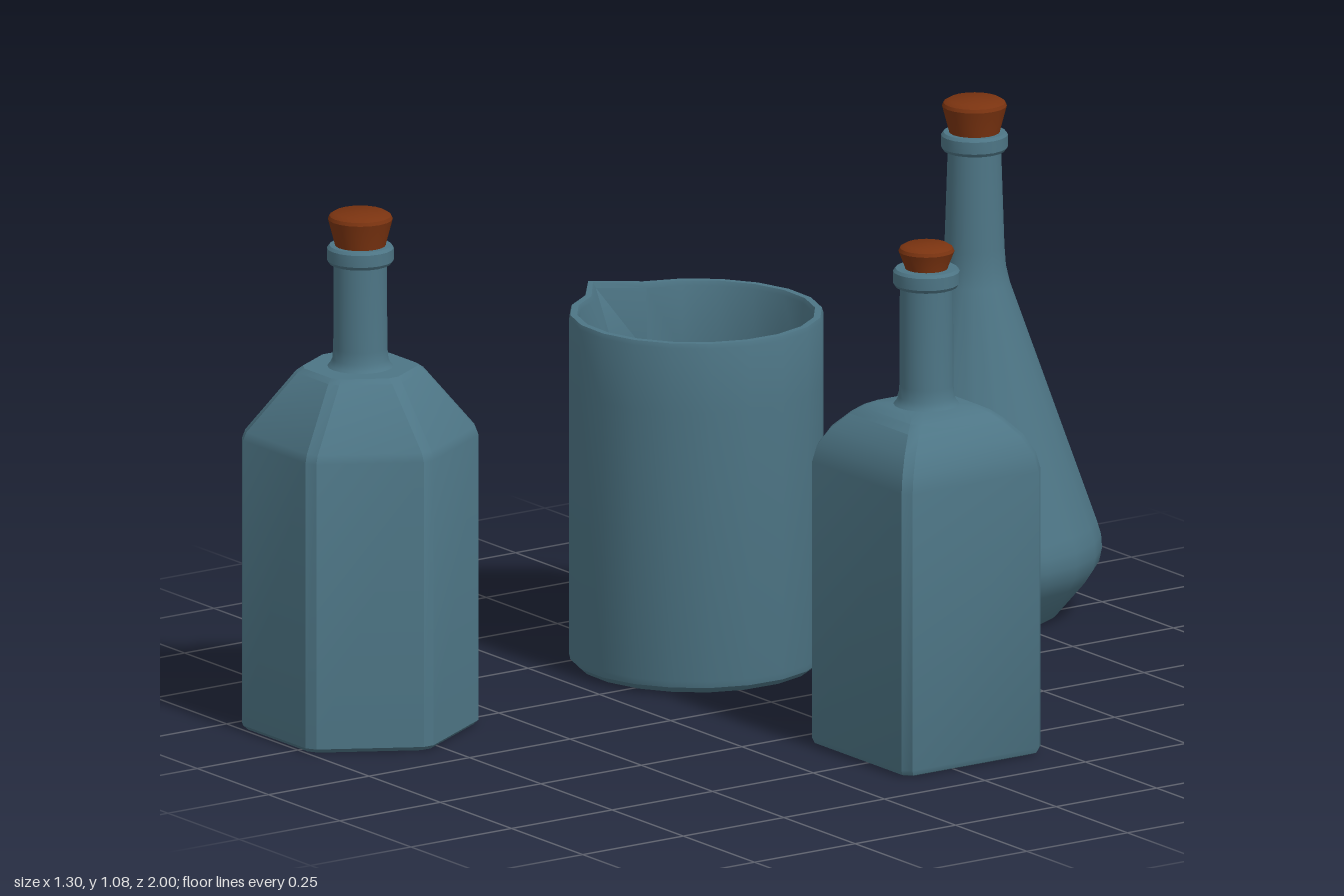
import * as THREE from 'three';
import { toCreasedNormals } from 'three/addons/utils/BufferGeometryUtils.js';

const SIDES = 20;
const glass = new THREE.MeshStandardMaterial({ color: 0x4d7585 });
const corkMaterial = new THREE.MeshStandardMaterial({ color: 0x7a3310 });

function part(name, geometry, material = glass) {
  const mesh = new THREE.Mesh(geometry, material);
  mesh.name = name;
  return mesh;
}

// Turned shape from [radius, height] pairs, listed bottom to top
function latheGeometry(profile) {
  return new THREE.LatheGeometry(profile.map(([r, y]) => new THREE.Vector2(r, y)), SIDES);
}
const turned = (profile) => toCreasedNormals(latheGeometry(profile), 0.6);

// Regular prism with chamfered corners, lofted through [apothem, height] rings
function prism(sides, rings, chamfer, crease) {
  const n = sides * 2;
  const loops = rings.map(([a, y]) => {
    const radius = a / Math.cos(Math.PI / sides);
    const corners = Array.from({ length: sides }, (_, i) => {
      // Hexagon corners lie on the x axis, square sides face the axes
      const t = (i + (sides === 4 ? 0.5 : 0)) * 2 * Math.PI / sides;
      return new THREE.Vector3(radius * Math.cos(t), y, -radius * Math.sin(t));
    });
    const edge = corners[0].distanceTo(corners[1]);
    const f = Math.min(chamfer / edge, 0.2);
    return corners.flatMap((c, i) => [
      c.clone().lerp(corners[(i + sides - 1) % sides], f),
      c.clone().lerp(corners[(i + 1) % sides], f),
    ]);
  });
  const positions = [];
  const triangle = (...points) => points.forEach((p) => positions.push(p.x, p.y, p.z));
  for (let k = 0; k < loops.length - 1; k++) {
    for (let i = 0; i < n; i++) {
      const j = (i + 1) % n;
      triangle(loops[k][i], loops[k][j], loops[k + 1][j]);
      triangle(loops[k][i], loops[k + 1][j], loops[k + 1][i]);
    }
  }
  // Flat caps
  const bottom = new THREE.Vector3(0, rings[0][1], 0);
  const top = new THREE.Vector3(0, rings.at(-1)[1], 0);
  for (let i = 0; i < n; i++) {
    const j = (i + 1) % n;
    triangle(bottom, loops[0][j], loops[0][i]);
    triangle(top, loops.at(-1)[i], loops.at(-1)[j]);
  }
  const geometry = new THREE.BufferGeometry();
  geometry.setAttribute('position', new THREE.Float32BufferAttribute(positions, 3));
  return toCreasedNormals(geometry, crease);
}

// Collar ring closed under the cork
const collar = () => part('collar', turned([
  [0.05, 0.977], [0.063, 0.977], [0.068, 0.984], [0.068, 1.009], [0.063, 1.015], [0, 1.015],
]));

// Tapered cork with a bevelled top
function cork(bottomRadius, topRadius, top) {
  return part('cork', turned([
    [0, 1.0], [bottomRadius, 1.0], [bottomRadius + 0.002, 1.017],
    [topRadius, top - 0.013], [topRadius - 0.003, top - 0.006],
    [topRadius - 0.013, top], [0, top],
  ]), corkMaterial);
}

// Straight neck flaring into the shoulder
const neck = (base) => part('neck', turned([
  [0.07, base - 0.003], [0.063, base + 0.004], [0.057, base + 0.016], [0.055, base + 0.04], [0.054, 0.985],
]));

function vessel(name, x, z, ...parts) {
  const group = new THREE.Group();
  group.name = name;
  group.position.set(x, 0, z);
  group.add(...parts);
  return group;
}

// Open beaker with one column of rim vertices pulled out into a spout
function beakerGeometry() {
  const geometry = latheGeometry([
    [0, 0.005], [0.228, 0.005], [0.244, 0.01], [0.257, 0.022], [0.26, 0.036],
    [0.26, 0.6], [0.26, 0.735], [0.257, 0.745], [0.243, 0.745], [0.239, 0.735],
    [0.238, 0.6], [0.236, 0.05], [0.222, 0.03], [0, 0.03],
  ]);
  const p = geometry.attributes.position;
  for (let i = 0; i < p.count; i++) {
    const angle = Math.atan2(p.getZ(i), -p.getX(i));
    if (p.getY(i) > 0.6 && Math.abs(angle) < 0.1) {
      p.setX(i, p.getX(i) - 0.065 * (p.getY(i) - 0.6) / 0.145);
    }
  }
  geometry.rotateY(THREE.MathUtils.degToRad(7.5));
  return toCreasedNormals(geometry, 0.6);
}

export function createModel() {
  const model = new THREE.Group();
  model.name = 'glassware';

  model.add(vessel('hexagonalBottle', -0.334, 0.785,
    part('hexagonalBody', prism(6, [
      [0.205, 0.005], [0.214, 0.014], [0.214, 0.612], [0.208, 0.63],
      [0.118, 0.752], [0.106, 0.761],
    ], 0.014, 0.4)),
    neck(0.761), collar(), cork(0.05, 0.066, 1.083)));

  model.add(vessel('squareBottle', 0.477, -0.048,
    part('squareBody', prism(4, [
      [0.16, 0.005], [0.169, 0.009], [0.173, 0.02], [0.173, 0.6], [0.166, 0.635],
      [0.147, 0.672], [0.118, 0.705], [0.1, 0.72], [0.08, 0.73],
    ], 0.016, 0.5)),
    neck(0.73), collar(), cork(0.042, 0.057, 1.064)));

  model.add(vessel('conicalFlask', -0.334, -0.742,
    part('flaskBody', turned([
      [0, 0.005], [0.165, 0.005], [0.172, 0.01], [0.235, 0.085], [0.253, 0.113],
      [0.259, 0.142], [0.257, 0.17], [0.248, 0.2], [0.072, 0.7], [0.064, 0.735],
      [0.061, 0.775], [0.054, 0.985],
    ])),
    collar(), cork(0.05, 0.066, 1.083)));

  model.add(vessel('beaker', -0.334, -0.05, part('beakerBody', beakerGeometry())));

  // Stand everything exactly on the ground
  model.children.forEach((child) => { child.position.y = -0.005; });
  return model;
}
